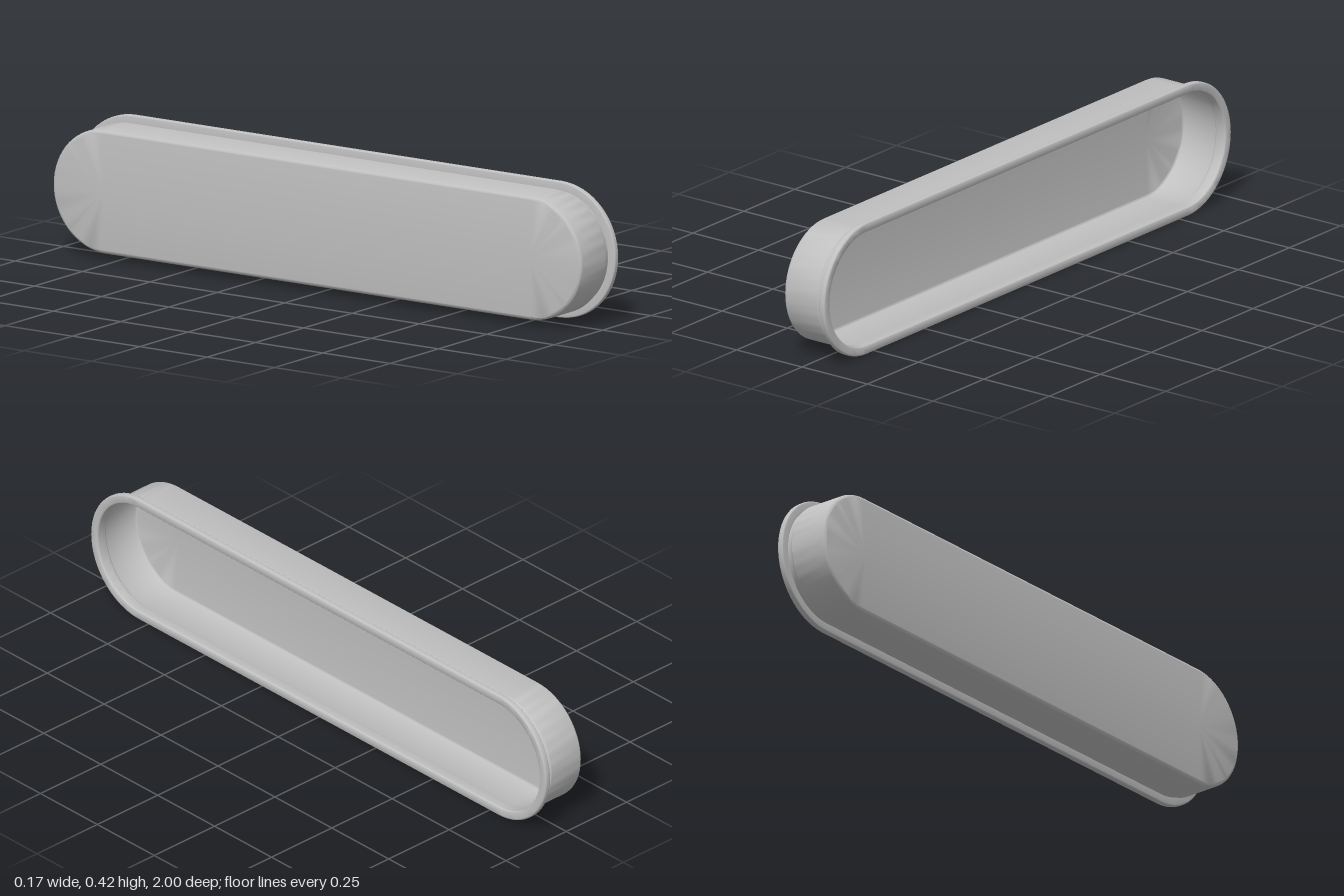
import * as THREE from 'three';
import { toCreasedNormals } from 'three/addons/utils/BufferGeometryUtils.js';

const HALF_STRAIGHT = 0.79; // half length of the straight sides
const CENTRE_Y = 0.21;
const ARC_STEPS = 32;

// Closed stadium path: each entry is an outward direction and its arc centre
function stadiumPath() {
  const path = [];
  for (const side of [1, -1]) {
    for (let i = 0; i <= ARC_STEPS; i++) {
      const a = side * Math.PI / 2 - Math.PI / 2 + (side < 0 ? Math.PI * 1.5 : -Math.PI / 2) + Math.PI * i / ARC_STEPS;
      path.push({ z: Math.cos(a), y: Math.sin(a), centre: side * HALF_STRAIGHT });
    }
  }
  return path;
}

// Sweep a profile of [depth x, radius] points around the stadium
function sweep(profile) {
  const path = stadiumPath();
  const corner = ([x, r], p) => new THREE.Vector3(x, CENTRE_Y + p.y * r, p.centre + p.z * r);
  const positions = [];
  const triangle = (a, b, c) => {
    const area = b.clone().sub(a).cross(c.clone().sub(a)).length();
    if (area > 1e-10) for (const v of [a, b, c]) positions.push(v.x, v.y, v.z);
  };
  for (let i = 0; i < profile.length - 1; i++) {
    for (let j = 0; j < path.length; j++) {
      const p = path[j], q = path[(j + 1) % path.length];
      const a = corner(profile[i], p), b = corner(profile[i + 1], p);
      const c = corner(profile[i + 1], q), d = corner(profile[i], q);
      triangle(a, b, c);
      triangle(a, c, d);
    }
  }
  const geometry = new THREE.BufferGeometry();
  geometry.setAttribute('position', new THREE.Float32BufferAttribute(positions, 3));
  return toCreasedNormals(geometry, 0.5);
}

// Quarter-round between two angles, as profile points
function round(x, r, radius, from, to, steps = 5) {
  return Array.from({ length: steps + 1 }, (_, i) => {
    const a = from + (to - from) * i / steps;
    return [x + radius * Math.cos(a), r + radius * Math.sin(a)];
  });
}

export function createModel() {
  const group = new THREE.Group();
  group.name = 'recessedPull';
  const metal = new THREE.MeshStandardMaterial({ color: 0xc0c0c0 });
  metal.name = 'satin grey';
  const PI = Math.PI;

  // Back plate, outer wall and waisted neck
  const outer = [
    [-0.085, 0],
    ...round(-0.073, 0.179, 0.012, PI, PI / 2),
    [0.043, 0.191], [0.047, 0.187], [0.052, 0.1845], [0.058, 0.1835], [0.065, 0.1835],
  ];
  // Rounded flange around the opening
  const flange = [
    [0.065, 0.1835],
    ...round(0.069, 0.206, 0.004, PI, PI / 2, 4),
    ...round(0.079, 0.204, 0.006, PI / 2, 0),
    [0.085, 0.187],
    ...round(0.079, 0.187, 0.006, 0, -PI / 2),
  ];
  // Inside of the neck, inner wall and floor
  const inner = [
    [0.079, 0.181], [0.058, 0.181], [0.051, 0.182], [0.046, 0.1845], [0.042, 0.188],
    ...round(-0.073, 0.179, 0.009, PI / 2, PI),
    [-0.082, 0],
  ];

  for (const [name, profile] of Object.entries({ outerShell: outer, flange, innerPan: inner })) {
    const mesh = new THREE.Mesh(sweep(profile), metal);
    mesh.name = name;
    group.add(mesh);
  }
  return group;
}
